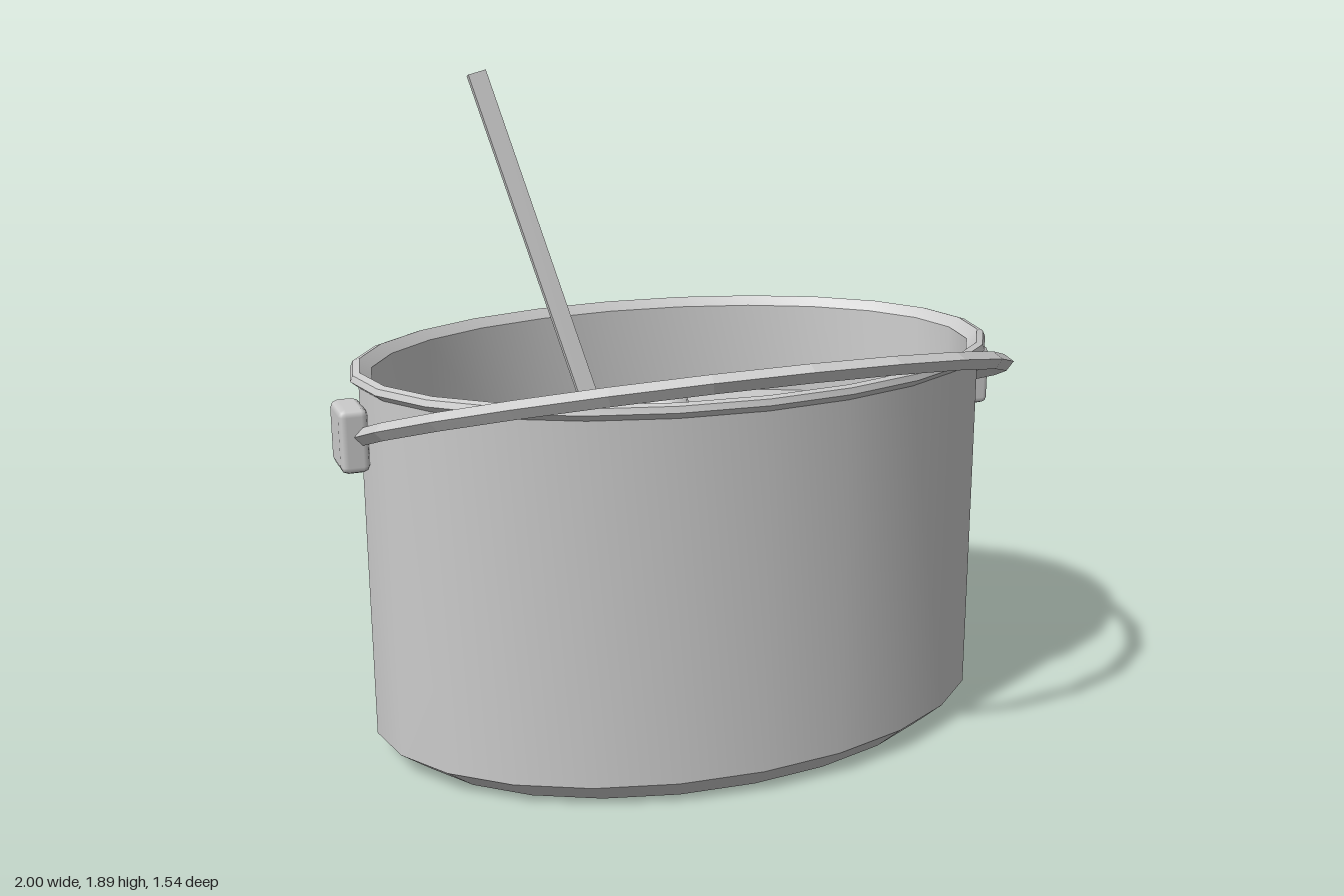
import * as THREE from 'three';
import { toCreasedNormals } from 'three/addons/utils/BufferGeometryUtils.js';
import { RoundedBoxGeometry } from 'three/addons/geometries/RoundedBoxGeometry.js';

const SQUASH = 0.677; // the pot is an ellipse: depth / width
const CENTRE_Z = -0.125;
const SOUP_Y = 0.82;

const grey = new THREE.MeshStandardMaterial({ color: 0xcccccc });
const greyFlat = new THREE.MeshStandardMaterial({ color: 0xcccccc, flatShading: true });
const tan = new THREE.MeshStandardMaterial({ color: 0xd2bc90 });

function addMesh(parent, name, geometry, material, x = 0, y = 0, z = 0) {
  const mesh = new THREE.Mesh(geometry, material);
  mesh.name = name;
  mesh.position.set(x, y, z);
  parent.add(mesh);
  return mesh;
}

// Elliptical lathe with sharp edges kept where the profile turns
function ovalLathe(profile) {
  const points = profile.map(([r, y]) => new THREE.Vector2(r, y));
  const geometry = new THREE.LatheGeometry(points, 24);
  geometry.scale(1, 1, SQUASH);
  return toCreasedNormals(geometry, 0.5);
}

// Half ellipse lying in the XZ plane, bulging to the front
class HandleCurve extends THREE.Curve {
  getPoint(t, target = new THREE.Vector3()) {
    const a = Math.PI * t;
    return target.set(0.95 * Math.cos(a), 0, 0.925 * Math.sin(a));
  }
  getPointAt(u, target) {
    return this.getPoint(u, target);
  }
}

export function createModel() {
  const model = new THREE.Group();
  model.name = 'cookingPot';

  // Pot: base, chamfer, outer wall and inner wall
  addMesh(model, 'potBody', ovalLathe([
    [0, 0], [0.84, 0], [0.93, 0.065], [0.93, 1.09],
  ]), grey, 0, 0, CENTRE_Z);
  addMesh(model, 'potInnerWall', ovalLathe([
    [0.895, 1.1], [0.88, SOUP_Y - 0.02],
  ]), grey, 0, 0, CENTRE_Z);

  // Rolled rim
  addMesh(model, 'rim', ovalLathe([
    [0.925, 1.083], [0.952, 1.105], [0.945, 1.122], [0.925, 1.128], [0.893, 1.1],
  ]), grey, 0, 0, CENTRE_Z);

  // Soup surface
  const soup = new THREE.CircleGeometry(0.882, 24);
  soup.rotateX(-Math.PI / 2);
  soup.scale(1, 1, SQUASH);
  addMesh(model, 'soup', soup, grey, 0, SOUP_Y, CENTRE_Z);

  // Floating chunks: x, z, radius, material
  const chunks = [
    [-0.5, -0.365, 0.12, grey], [-0.53, -0.135, 0.12, tan],
    [0.125, -0.55, 0.077, grey], [0, -0.34, 0.083, tan],
    [-0.13, -0.195, 0.107, grey], [0.01, -0.215, 0.103, grey],
    [0.285, -0.21, 0.078, tan], [0.42, -0.155, 0.112, grey],
    [-0.4, 0.17, 0.077, grey],
  ];
  for (const [x, z, r, material] of chunks) {
    const chunk = addMesh(model, 'soupChunk', new THREE.SphereGeometry(r, 8, 6), material, x, SOUP_Y, z);
    chunk.scale.y = 0.6;
  }

  // Side lugs
  for (const side of [1, -1]) {
    addMesh(model, side > 0 ? 'leftLug' : 'rightLug',
      new RoundedBoxGeometry(0.08, 0.18, 0.15, 1, 0.02), grey, side * 0.96, 0.955, CENTRE_Z);
  }

  // Carrying handle, tilted up to the front
  const handle = addMesh(model, 'handle',
    new THREE.TubeGeometry(new HandleCurve(), 12, 0.024, 4, false), greyFlat, 0, 0.945, CENTRE_Z);
  handle.rotation.x = -0.33;

  // Leaning spoon: a flat stick and a bowl just breaking the surface
  const top = new THREE.Vector3(-0.465, 1.88, -0.54);
  const bottom = new THREE.Vector3(-0.18, 0.79, -0.26);
  const along = top.clone().sub(bottom);
  const length = along.length();
  along.normalize();
  const across = new THREE.Vector3(1, 0, 0).addScaledVector(along, -along.x).normalize();
  const stick = addMesh(model, 'spoonStick', new THREE.BoxGeometry(0.055, length, 0.02), greyFlat);
  stick.position.copy(top).add(bottom).multiplyScalar(0.5);
  stick.setRotationFromMatrix(new THREE.Matrix4().makeBasis(across, along, across.clone().cross(along)));
  const bowl = addMesh(model, 'spoonBowl', new THREE.SphereGeometry(0.05, 8, 6), grey, -0.17, SOUP_Y, -0.26);
  bowl.scale.y = 0.7;

  return model;
}
